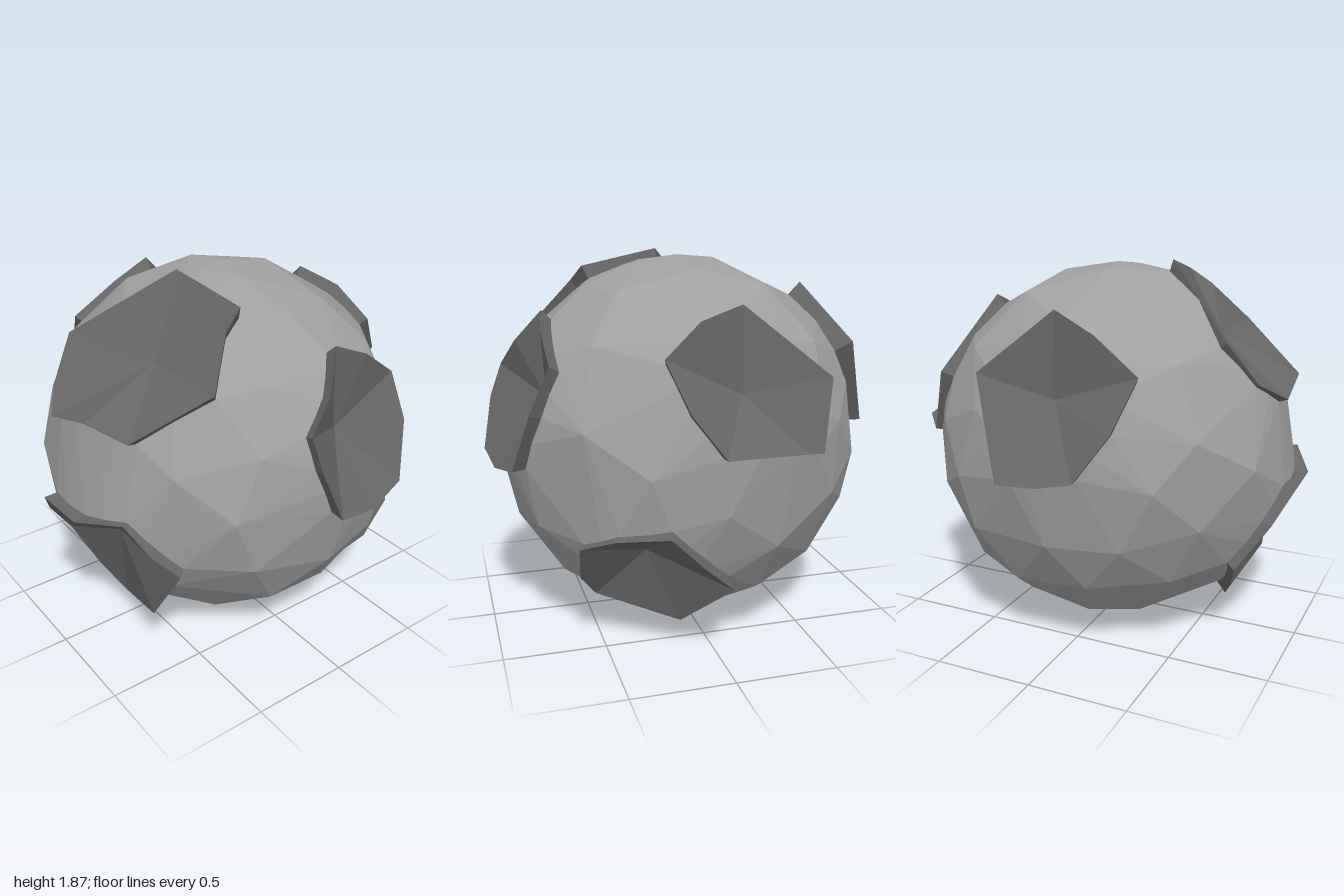
import * as THREE from 'three';
import { ConvexGeometry } from 'three/addons/geometries/ConvexGeometry.js';

const BODY_R = 0.923;   // average rock surface
const CENTER_Y = 0.927; // height of the rock's centre

const stone = new THREE.MeshStandardMaterial({ color: 0xa0a0a0, flatShading: true });
stone.name = 'pale stone';
const darkStone = new THREE.MeshStandardMaterial({ color: 0x666666, flatShading: true, side: THREE.DoubleSide });
darkStone.name = 'dark crater stone';

// Each crater: deepest point, then its raised rim as x, y, z triples
const craterSpecs = {
  upperFrontCrater: [[0.17, 1.5, 0.5], [
    -0.31, 1.54, 0.68, -0.23, 1.34, 0.82, -0.08, 1.25, 0.92, 0.2, 1.32, 0.9, 0.44, 1.29, 0.82,
    0.64, 1.51, 0.5, 0.49, 1.71, 0.33, 0.45, 1.79, 0.22, 0.04, 1.87, 0.28]],
  lowerFrontCrater: [[0.15, 0.66, 0.72], [
    -0.32, 0.44, 0.76, -0.14, 0.27, 0.69, 0, 0.15, 0.62, 0.4, 0.29, 0.7, 0.63, 0.64, 0.69,
    0.55, 0.76, 0.8, 0.43, 0.88, 0.86, 0.18, 0.82, 0.98, -0.1, 0.82, 0.99, -0.23, 0.66, 0.91]],
  rightCrater: [[-0.69, 1.29, 0], [
    -0.68, 1.7, 0, -0.69, 1.6, 0.2, -0.73, 1.44, 0.43, -0.89, 1.22, 0.37,
    -0.96, 1.0, 0.22, -0.99, 0.97, 0.06, -1.0, 0.96, -0.14, -0.85, 1.42, -0.31]],
  leftCrater: [[0.7, 1.19, -0.15], [
    0.71, 1.61, -0.12, 0.74, 1.54, -0.29, 0.73, 1.4, -0.48, 0.83, 1.18, -0.49, 0.91, 0.9, -0.41,
    0.97, 0.86, -0.18, 1.0, 0.9, 0.05, 0.95, 1.15, 0.14, 0.89, 1.31, 0.16, 0.83, 1.45, 0.01]],
  upperBackCrater: [[-0.11, 1.27, -0.69], [
    0.27, 1.46, -0.77, 0.09, 1.61, -0.71, -0.13, 1.67, -0.64, -0.55, 1.33, -0.72,
    -0.47, 1.0, -0.83, -0.34, 1.04, -0.95, 0.05, 1.05, -0.99, 0.19, 1.24, -0.91]],
  lowerBackCrater: [[0.32, 0.53, -0.6], [
    0.62, 0.38, -0.51, 0.64, 0.57, -0.63, 0.5, 0.65, -0.78, 0.28, 0.69, -0.92, 0.12, 0.53, -0.91,
    -0.04, 0.38, -0.84, 0.15, 0.14, -0.6, 0.53, 0.25, -0.42]],
};

// Broad swells and hollows of the surface: direction, height, angular width
const swells = [
  [new THREE.Vector3(-0.65, -0.43, 0.38).normalize(), -0.04, 0.6],
  [new THREE.Vector3(-0.5, 0.78, -0.1).normalize(), 0.02, 0.4],
  [new THREE.Vector3(0, 0.05, 1).normalize(), 0.015, 0.4],
];

// Drop a point onto the rock's surface along its direction
function onSurface(p) {
  let r = BODY_R;
  swells.forEach(([dir, height, width]) => { r += height * Math.exp(-((dir.angleTo(p) / width) ** 2)); });
  return p.clone().setLength(r);
}

// Small seeded random number in -0.5..0.5
let seed = 7;
const jitter = () => {
  seed = (seed * 16807) % 2147483647;
  return seed / 2147483647 - 0.5;
};

const triple = (a, b, c) => a.dot(new THREE.Vector3().crossVectors(b, c));

// Turn a spec into centre, rim (with edge midpoints) and the matching base ring
function readCrater([[cx, cy, cz], flat]) {
  const center = new THREE.Vector3(cx, cy - CENTER_Y, cz);
  const corners = [];
  for (let i = 0; i < flat.length; i += 3) {
    corners.push(new THREE.Vector3(flat[i], flat[i + 1] - CENTER_Y, flat[i + 2]));
  }
  let turn = 0;
  corners.forEach((p, i) => { turn += triple(center, p, corners[(i + 1) % corners.length]); });
  if (turn < 0) corners.reverse();
  const rim = [];
  corners.forEach((p, i) => {
    rim.push(p, p.clone().lerp(corners[(i + 1) % corners.length], 0.5));
  });
  return { center, rim, base: rim.map(onSurface) };
}

// Is a direction from the rock's centre inside the crater's outline?
function insideCrater(d, { center, rim }) {
  if (d.dot(center) <= 0) return false;
  return rim.some((a, i) => {
    const b = rim[(i + 1) % rim.length];
    return triple(d, a, b) >= 0 && triple(d, b, center) >= 0 && triple(d, center, a) >= 0;
  });
}

function geometryFrom(points) {
  const g = new THREE.BufferGeometry().setFromPoints(points);
  g.computeVertexNormals();
  return g;
}

// Hollow bowl fanning from its deepest point, with a raised outer wall
function craterGeometry({ center, rim, base }) {
  const tris = [];
  rim.forEach((a, i) => {
    const j = (i + 1) % rim.length;
    tris.push(center, a, rim[j]);
    tris.push(a, base[i], base[j], a, base[j], rim[j]);
  });
  return geometryFrom(tris);
}

// Faceted rock, left open where the craters sit
function bodyGeometry(craters) {
  const ringPoints = craters.flatMap((c) => c.base);
  const points = [...ringPoints];
  const candidates = [new THREE.Vector3(0, 1, 0), new THREE.Vector3(0, -1, 0)];
  const pos = new THREE.IcosahedronGeometry(1, 2).attributes.position;
  for (let i = 0; i < pos.count; i++) candidates.push(new THREE.Vector3().fromBufferAttribute(pos, i));
  const used = [];
  candidates.forEach((p, i) => {
    if (used.some((q) => q.distanceTo(p) < 0.16)) return;
    used.push(p);
    const isPole = i < 2;
    const v = p.clone();
    if (!isPole) v.add(new THREE.Vector3(jitter(), jitter(), jitter()).multiplyScalar(0.1));
    const point = isPole ? v.setLength(CENTER_Y) : onSurface(v);
    if (craters.some((c) => insideCrater(point, c))) return;
    if (ringPoints.some((q) => q.distanceTo(point) < 0.17)) return;
    points.push(point);
  });

  const hull = new ConvexGeometry(points).attributes.position;
  const kept = [];
  for (let i = 0; i < hull.count; i += 3) {
    const face = [0, 1, 2].map((k) => new THREE.Vector3().fromBufferAttribute(hull, i + k));
    const middle = face[0].clone().add(face[1]).add(face[2]).divideScalar(3);
    if (!craters.some((c) => insideCrater(middle, c))) kept.push(...face);
  }
  return geometryFrom(kept);
}

export function createModel() {
  const group = new THREE.Group();
  group.name = 'crateredRock';
  const rock = new THREE.Group();
  rock.name = 'rock';
  rock.position.y = CENTER_Y;
  group.add(rock);

  const names = Object.keys(craterSpecs);
  const craters = names.map((n) => readCrater(craterSpecs[n]));

  const body = new THREE.Mesh(bodyGeometry(craters), stone);
  body.name = 'rockBody';
  rock.add(body);

  craters.forEach((c, i) => {
    const mesh = new THREE.Mesh(craterGeometry(c), darkStone);
    mesh.name = names[i];
    rock.add(mesh);
  });
  return group;
}
